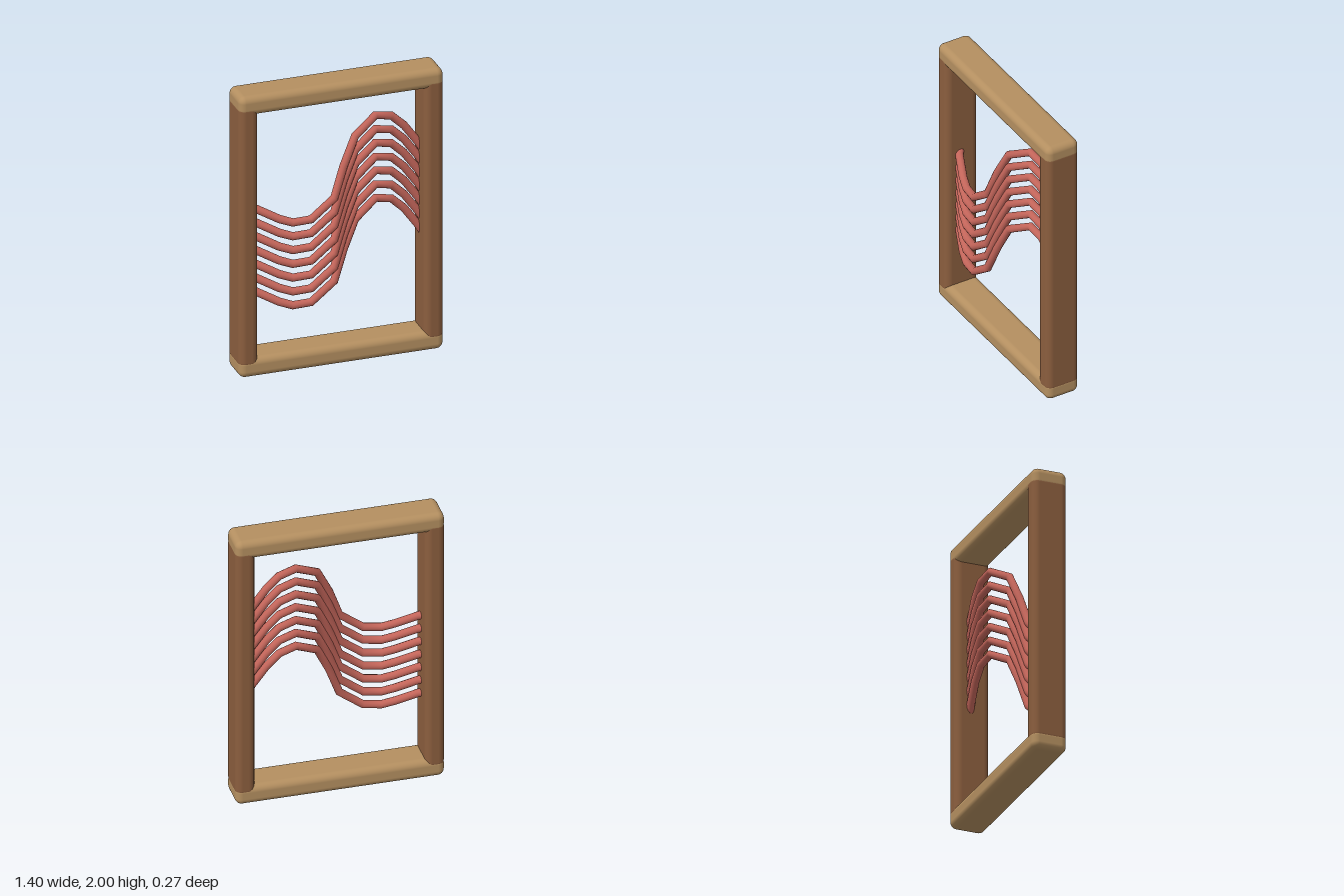
import * as THREE from 'three';
import { RoundedBoxGeometry } from 'three/addons/geometries/RoundedBoxGeometry.js';

// Curve that visits its points one by one, keeping the bends crisp
class BentPath extends THREE.Curve {
  constructor(points) {
    super();
    this.points = points;
  }
  getPointAt(u, target = new THREE.Vector3()) {
    const last = this.points.length - 1;
    return target.copy(this.points[Math.round(u * last)]);
  }
  getTangentAt(u, target = new THREE.Vector3()) {
    const last = this.points.length - 1;
    const i = Math.round(u * last);
    const p = this.points[i];
    const a = this.points[Math.max(i - 1, 0)];
    const b = this.points[Math.min(i + 1, last)];
    // Average the directions of the two neighbouring segments
    target.set(0, 0, 0);
    if (a !== p) target.add(p.clone().sub(a).normalize());
    if (b !== p) target.add(b.clone().sub(p).normalize());
    return target.normalize();
  }
}

function material(name, color) {
  const m = new THREE.MeshStandardMaterial({ color });
  m.name = name;
  return m;
}

export function createModel() {
  const group = new THREE.Group();
  group.name = 'wavyStrandFrame';
  const lightWood = material('light wood', 0xb48f60);
  const darkWood = material('dark wood', 0x8b5e3e);
  const coral = material('coral red', 0xc3655a);

  const add = (name, geometry, mat, x, y, z) => {
    const mesh = new THREE.Mesh(geometry, mat);
    mesh.name = name;
    mesh.position.set(x, y, z);
    group.add(mesh);
  };

  // Frame: two rails and two posts with rounded edges
  const frameZ = -0.02;
  const rail = new RoundedBoxGeometry(1.4, 0.135, 0.24, 4, 0.045);
  add('topRail', rail, lightWood, 0, 1.9325, frameZ);
  add('bottomRail', rail, lightWood, 0, 0.0675, frameZ);
  const post = new RoundedBoxGeometry(0.13, 1.875, 0.24, 4, 0.045);
  add('leftPost', post, darkWood, 0.635, 1.0025, frameZ);
  add('rightPost', post, darkWood, -0.635, 1.0025, frameZ);

  // Strands: one bent wave, repeated at even heights between the posts
  const wave = [
    [-0.63, 0.605, -0.04], [-0.56, 0.57, 0.01], [-0.42, 0.5, 0.066], [-0.335, 0.472, 0.09],
    [-0.215, 0.483, 0.106], [-0.055, 0.607, 0.1], [0.02, 0.81, 0.07],
    [0.11, 0.995, 0.038], [0.272, 1.09, -0.028], [0.388, 1.062, -0.045],
    [0.475, 0.98, -0.047], [0.565, 0.855, -0.04], [0.62, 0.765, -0.03],
  ].map((p) => new THREE.Vector3(...p));
  const strand = new THREE.TubeGeometry(new BentPath(wave), wave.length - 1, 0.027, 12, false);
  for (let i = 0; i < 7; i++) {
    add(`strand${i + 1}`, strand, coral, 0, i * 0.0983, 0);
  }
  return group;
}
